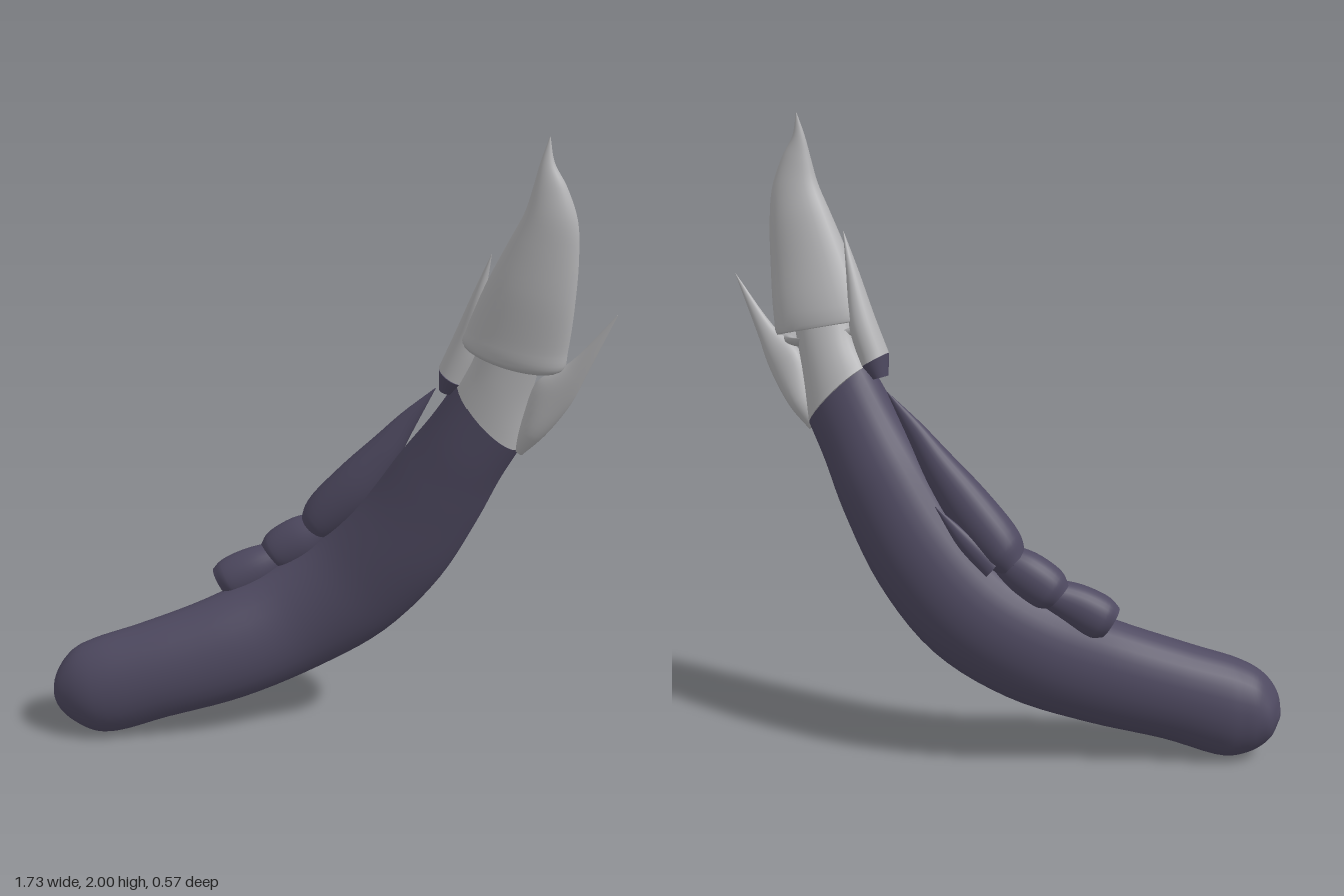
import * as THREE from 'three';

// Loft of elliptical rings. Each row: upper edge x,y, lower edge x,y, centre z, half depth.
function loft(rows, steps = 5, sides = 28) {
  const spline = (f) => new THREE.CatmullRomCurve3(rows.map(f));
  const edgeA = spline((r) => new THREE.Vector3(r[0], r[1], r[4]));
  const edgeB = spline((r) => new THREE.Vector3(r[2], r[3], r[4]));
  const depth = spline((r, i) => new THREE.Vector3(r[5], i, 0));
  const n = (rows.length - 1) * steps;
  const mids = [], halves = [], depths = [];
  for (let i = 0; i <= n; i++) {
    const a = edgeA.getPoint(i / n), b = edgeB.getPoint(i / n);
    mids.push(a.clone().add(b).multiplyScalar(0.5));
    halves.push(a.sub(b).multiplyScalar(0.5));
    depths.push(Math.max(0.001, depth.getPoint(i / n).x));
  }
  const pos = [], idx = [];
  const addRing = (i) => {
    const t = mids[Math.min(n, i + 1)].clone().sub(mids[Math.max(0, i - 1)]).normalize();
    const v = t.cross(halves[i]).normalize().multiplyScalar(depths[i]);
    for (let j = 0; j < sides; j++) {
      const q = (j / sides) * Math.PI * 2;
      const p = mids[i].clone().addScaledVector(halves[i], Math.cos(q)).addScaledVector(v, Math.sin(q));
      pos.push(p.x, p.y, p.z);
    }
  };
  for (let i = 0; i <= n; i++) addRing(i);
  for (let i = 0; i < n; i++) {
    for (let j = 0; j < sides; j++) {
      const k = (j + 1) % sides;
      const a = i * sides + j, b = i * sides + k;
      idx.push(a, b, b + sides, a, b + sides, a + sides);
    }
  }
  // Sharp-edged end caps
  for (const end of [0, n]) {
    const base = pos.length / 3;
    addRing(end);
    pos.push(mids[end].x, mids[end].y, mids[end].z);
    for (let j = 0; j < sides; j++) {
      const a = base + j, b = base + ((j + 1) % sides);
      idx.push(base + sides, ...(end ? [a, b] : [b, a]));
    }
  }
  const g = new THREE.BufferGeometry();
  g.setAttribute('position', new THREE.Float32BufferAttribute(pos, 3));
  g.setIndex(idx);
  g.computeVertexNormals();
  return g;
}

export function createModel() {
  const group = new THREE.Group();
  const skin = new THREE.MeshStandardMaterial({ color: 0x4e4960 });
  skin.name = 'dark purple skin';
  const horn = new THREE.MeshStandardMaterial({ color: 0xb2b2b4 });
  horn.name = 'grey horn';
  const add = (name, material, rows, steps) => {
    const mesh = new THREE.Mesh(loft(rows, steps), material);
    mesh.name = name;
    group.add(mesh);
  };

  // Curved limb with rounded lower end
  add('limb', skin, [
    [-0.868, 0.17, -0.868, 0.14, 0.175, 0.02],
    [-0.855, 0.22, -0.845, 0.08, 0.175, 0.07],
    [-0.81, 0.285, -0.79, 0.03, 0.175, 0.1],
    [-0.74, 0.325, -0.7, 0.005, 0.165, 0.12],
    [-0.6, 0.375, -0.5, 0.065, 0.11, 0.125],
    [-0.4, 0.455, -0.27, 0.13, 0.02, 0.13],
    [-0.22, 0.55, -0.04, 0.23, -0.085, 0.137],
    [-0.06, 0.66, 0.17, 0.37, -0.137, 0.145],
    [0.09, 0.82, 0.34, 0.57, -0.143, 0.143],
    [0.22, 1.0, 0.46, 0.79, -0.13, 0.13],
    [0.31, 1.12, 0.53, 0.94, -0.11, 0.112],
    [0.395, 1.25, 0.59, 1.05, -0.095, 0.094],
  ]);

  // Horn collar between limb and main claw
  add('collar', horn, [
    [0.395, 1.25, 0.59, 1.05, -0.095, 0.094],
    [0.445, 1.33, 0.615, 1.2, -0.08, 0.08],
    [0.47, 1.4, 0.65, 1.34, -0.065, 0.065],
  ]);

  // Main claw, with its flared lower rim
  add('mainClaw', horn, [
    [0.45, 1.375, 0.67, 1.33, -0.062, 0.06],
    [0.41, 1.385, 0.715, 1.318, -0.06, 0.077],
    [0.425, 1.43, 0.728, 1.38, -0.055, 0.08],
    [0.49, 1.58, 0.745, 1.52, -0.03, 0.07],
    [0.55, 1.7, 0.752, 1.66, -0.015, 0.057],
    [0.595, 1.79, 0.745, 1.77, -0.005, 0.043],
    [0.615, 1.86, 0.71, 1.865, -0.003, 0.028],
    [0.632, 1.93, 0.672, 1.93, -0.005, 0.014],
    [0.654, 2.0, 0.656, 2.0, -0.01, 0.001],
  ]);

  // Side claws, the inner one on a small skin base
  add('innerClawBase', skin, [
    [0.337, 1.22, 0.385, 1.205, -0.09, 0.03],
    [0.338, 1.29, 0.42, 1.24, -0.085, 0.05],
  ]);
  add('innerClaw', horn, [
    [0.338, 1.29, 0.42, 1.24, -0.085, 0.05],
    [0.385, 1.4, 0.46, 1.36, -0.078, 0.043],
    [0.44, 1.53, 0.475, 1.51, -0.06, 0.025],
    [0.494, 1.65, 0.496, 1.65, -0.04, 0.001],
  ]);
  add('outerClaw', horn, [
    [0.565, 1.07, 0.6, 1.032, -0.095, 0.025],
    [0.59, 1.15, 0.665, 1.1, -0.09, 0.045],
    [0.635, 1.27, 0.74, 1.21, -0.075, 0.037],
    [0.735, 1.345, 0.785, 1.31, -0.06, 0.02],
    [0.865, 1.5, 0.867, 1.5, -0.045, 0.001],
  ]);

  // Overlapping scales along the upper ridge
  add('smallScale', skin, [
    [-0.4, 0.535, -0.34, 0.44, -0.05, 0.045],
    [-0.375, 0.565, -0.3, 0.44, -0.06, 0.064],
    [-0.3, 0.605, -0.22, 0.49, -0.085, 0.06],
    [-0.21, 0.63, -0.16, 0.55, -0.12, 0.045],
  ]);
  add('middleScale', skin, [
    [-0.255, 0.615, -0.19, 0.54, -0.115, 0.045],
    [-0.235, 0.655, -0.15, 0.54, -0.12, 0.064],
    [-0.16, 0.71, -0.07, 0.59, -0.135, 0.064],
    [-0.07, 0.74, -0.02, 0.66, -0.15, 0.045],
  ]);
  add('largeScale', skin, [
    [-0.125, 0.715, -0.06, 0.64, -0.15, 0.05],
    [-0.105, 0.775, -0.01, 0.67, -0.15, 0.07],
    [0, 0.9, 0.1, 0.78, -0.152, 0.066],
    [0.12, 1.02, 0.18, 0.92, -0.16, 0.046],
    [0.2, 1.1, 0.235, 1.04, -0.165, 0.025],
    [0.304, 1.19, 0.306, 1.189, -0.17, 0.001],
  ]);
  // Small spur behind the large scale
  add('rearSpur', skin, [
    [-0.06, 0.7, -0.01, 0.64, -0.19, 0.03],
    [0.03, 0.78, 0.06, 0.73, -0.21, 0.02],
    [0.134, 0.86, 0.136, 0.859, -0.22, 0.001],
  ]);

  return group;
}
